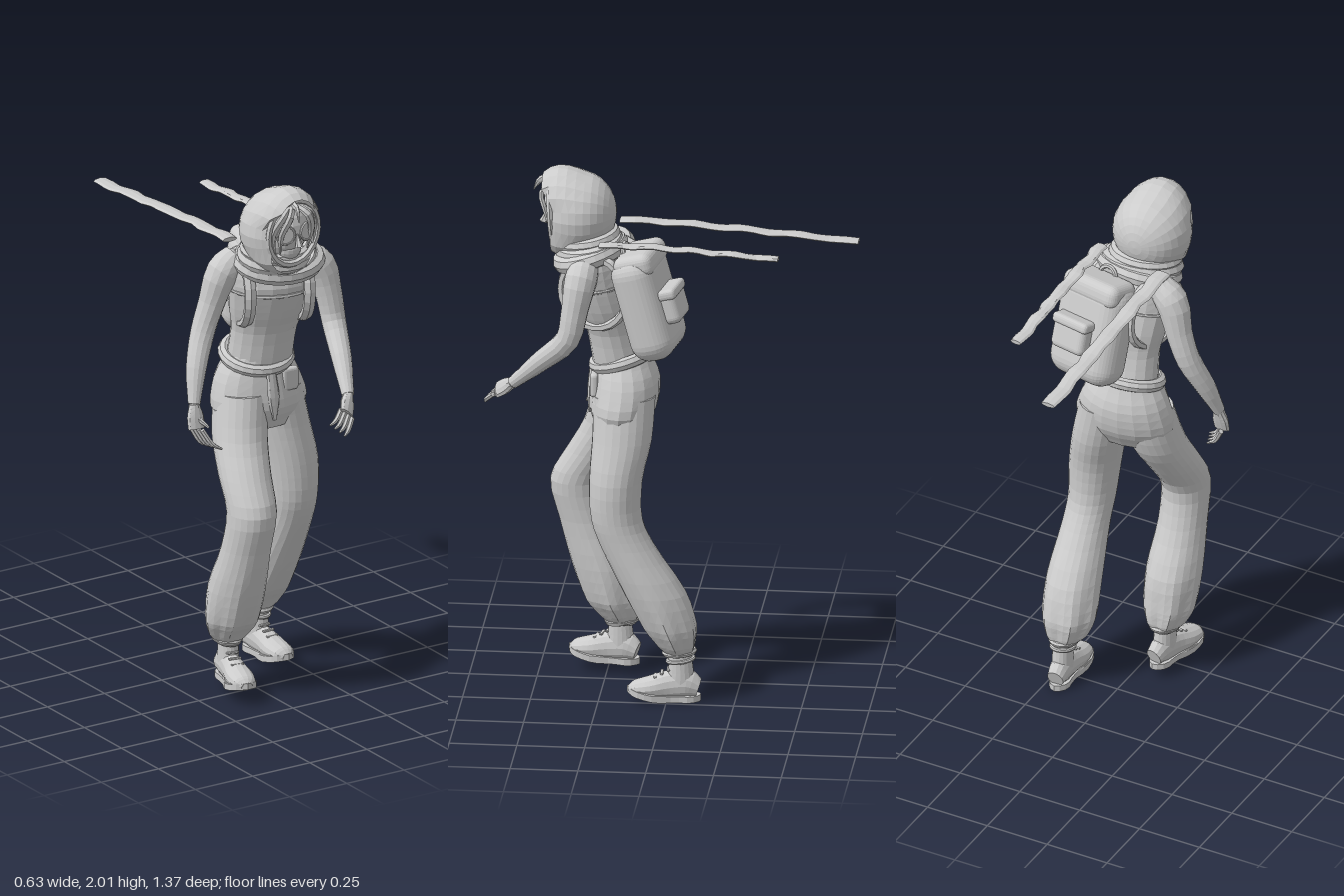
import * as THREE from 'three';
import { RoundedBoxGeometry } from 'three/addons/geometries/RoundedBoxGeometry.js';

const material = new THREE.MeshStandardMaterial({ color: 0xcccccc, flatShading: true, side: THREE.DoubleSide });
const V = (x, y, z) => new THREE.Vector3(x, y, z);

function add(parent, name, geometry, x = 0, y = 0, z = 0) {
  const mesh = new THREE.Mesh(geometry, material);
  mesh.name = name;
  mesh.position.set(x, y, z);
  parent.add(mesh);
  return mesh;
}

// Skin over oval sections [x, y, z, r1, r2, pleat]. With "yaw" the sections stay level
// and the path runs downwards; with "ref" they stand square to the path.
function loft(sections, { yaw = 0, ref = null, sides = 18, steps = 3 } = {}) {
  const path = new THREE.CatmullRomCurve3(sections.map(s => V(s[0], s[1], s[2])));
  const size = new THREE.CatmullRomCurve3(sections.map(s => V(s[3], s[4], s[5] || 0)), false, 'catmullrom', 0.4);
  const n = (sections.length - 1) * steps, pos = [], index = [];
  for (let i = 0; i <= n; i++) {
    const c = path.getPoint(i / n), r = size.getPoint(i / n);
    let u = V(Math.cos(yaw), 0, -Math.sin(yaw)), v = V(Math.sin(yaw), 0, Math.cos(yaw));
    if (ref) {
      const t = path.getTangent(i / n);
      u = ref.clone().cross(t).normalize();
      v = t.clone().cross(u);
    }
    for (let j = 0; j < sides; j++) {
      const a = j / sides * Math.PI * 2, k = 1 + r.z * Math.cos(a * 6);
      const p = c.clone().addScaledVector(u, r.x * k * Math.cos(a)).addScaledVector(v, r.y * k * Math.sin(a));
      pos.push(p.x, p.y, p.z);
      const b = (j + 1) % sides, q = i * sides;
      if (i < n) index.push(q + j, q + b, q + sides + b, q + j, q + sides + b, q + sides + j);
    }
  }
  // end caps
  for (const i of [0, n]) {
    const c = path.getPoint(i / n), m = pos.length / 3, q = i * sides;
    pos.push(c.x, c.y, c.z);
    for (let j = 0; j < sides; j++) {
      const b = (j + 1) % sides;
      if (i) index.push(m, q + j, q + b); else index.push(m, q + b, q + j);
    }
  }
  const g = new THREE.BufferGeometry();
  g.setAttribute('position', new THREE.Float32BufferAttribute(pos, 3));
  g.setIndex(index);
  g.computeVertexNormals();
  return g;
}

// Flat-lying oval band; a positive tilt lowers the front
const band = (rx, rz, tube, tilt = 0, yaw = 0) =>
  new THREE.TorusGeometry(1, tube / rx, 8, 24).rotateX(Math.PI / 2).scale(rx, rx, rz).rotateX(tilt).rotateY(yaw);

const ball = (rx, ry, rz) => new THREE.SphereGeometry(1, 18, 12).scale(rx, ry, rz);

function buildHead(root) {
  const head = new THREE.Group();
  head.name = 'head';
  root.add(head);
  add(head, 'face', ball(0.088, 0.115, 0.095), 0.045, 1.845, 0.365);
  add(head, 'jaw', ball(0.05, 0.05, 0.05), 0.045, 1.775, 0.395);
  add(head, 'nose', new THREE.ConeGeometry(0.016, 0.06, 6).rotateX(-0.3), 0.047, 1.825, 0.462);
  add(head, 'neck', new THREE.CylinderGeometry(0.06, 0.07, 0.18, 12), 0.055, 1.72, 0.29);

  // hood: a ball open towards the face, drawn up to a peak at the front
  const g = new THREE.SphereGeometry(1, 22, 12, 0, Math.PI * 2, 0.8, Math.PI - 0.8)
    .rotateX(Math.PI / 2).scale(0.15, 0.155, 0.14);
  const p = g.attributes.position;
  for (let i = 0; i < p.count; i++) {
    const y = p.getY(i), z = p.getZ(i);
    const front = Math.max(0, z + 0.02) / 0.12;
    if (y > 0.07) p.setXYZ(i, p.getX(i), y + 0.042 * front * (y - 0.04) / 0.08, z + 0.035 * front);
    if (y < -0.05) p.setY(i, y - 0.04 * front);
  }
  g.computeVertexNormals();
  add(head, 'hood', g, 0.04, 1.835, 0.342);
  add(head, 'hoodRim', new THREE.TorusGeometry(0.108, 0.012, 6, 22).scale(1, 1.18, 1).rotateX(0.06), 0.042, 1.845, 0.437);

  // glasses and the locks that frame the face
  for (const s of [-1, 1]) {
    add(head, 'glassesRim', new THREE.TorusGeometry(0.034, 0.005, 6, 18).rotateY(s * 0.25), 0.047 + s * 0.047, 1.845, 0.452);
    add(head, 'lens', new THREE.CylinderGeometry(0.033, 0.033, 0.004, 16).rotateX(Math.PI / 2).rotateY(s * 0.25),
      0.047 + s * 0.047, 1.845, 0.452);
    for (const k of [0, 1]) {
      const w = 0.065 + k * 0.025, x = 0.045;
      add(head, 'hairLock', loft([
        [x + s * 0.005, 1.955, 0.43, 0.01, 0.008], [x + s * w * 0.6, 1.92, 0.475 - k * 0.02, 0.016, 0.01],
        [x + s * w, 1.85, 0.455 - k * 0.02, 0.014, 0.009], [x + s * w * 0.9, 1.77, 0.435, 0.003, 0.003],
      ], { ref: V(0, 0, 1), sides: 6 }));
    }
  }
  add(head, 'hairTuft', loft([[0.04, 1.95, 0.43, 0.018, 0.012], [0.03, 1.955, 0.48, 0.014, 0.008], [0.02, 1.91, 0.51, 0.002, 0.002]],
    { ref: V(1, 0, 0), sides: 6 }));
}

function buildScarf(root) {
  const scarf = new THREE.Group();
  scarf.name = 'scarf';
  root.add(scarf);
  add(scarf, 'lowerWrap', band(0.145, 0.115, 0.032, 0.3, -0.2), 0.07, 1.69, 0.295);
  add(scarf, 'middleWrap', band(0.13, 0.105, 0.03, 0.2, 0.1), 0.06, 1.715, 0.3);
  add(scarf, 'upperWrap', band(0.115, 0.1, 0.026, 0.15), 0.05, 1.745, 0.31);
  add(scarf, 'frontDrape', ball(0.12, 0.06, 0.07), 0.075, 1.675, 0.345);
  // two long tails blown straight back
  for (const [x, z0, z1, w] of [[-0.082, 0.2, -0.68, 0.031], [0.2, 0.25, -0.41, 0.025]]) {
    const pts = [];
    for (let i = 0; i <= 16; i++) {
      const t = i / 16, z = z0 + (z1 - z0) * t;
      pts.push([x + 0.003 * Math.sin(i * 2.1), 1.765 - 0.055 * Math.max(0, (0.1 - z) / 0.78) ** 1.2 + 0.003 * Math.sin(i * 1.7), z,
        w + 0.003 * Math.sin(i * 2.7), 0.009]);
    }
    add(scarf, 'scarfTail', loft(pts, { ref: V(0, 1, 0), sides: 8, steps: 2 }));
  }
}

// Arm with palm, four fingers and a thumb
function buildArm(root, name, sections, knuckle, tip, spread) {
  const arm = new THREE.Group();
  arm.name = name;
  root.add(arm);
  add(arm, 'sleeve', loft(sections, { ref: V(1, 0, 0.3), sides: 14 }));
  const w = sections[sections.length - 1], wrist = V(w[0], w[1], w[2]);
  const mid = wrist.clone().lerp(knuckle, 0.5);
  add(arm, 'palm', loft([[...wrist, 0.02, 0.02], [...mid, 0.034, 0.018], [...knuckle, 0.034, 0.014]], { ref: V(0, 0, 1).cross(spread), sides: 10 }));
  for (let i = 0; i < 4; i++) {
    const off = spread.clone().multiplyScalar((i - 1.5) * 0.017);
    const a = knuckle.clone().add(off), c = tip.clone().addScaledVector(off, 1.3);
    const b = a.clone().lerp(c, 0.5).addScaledVector(knuckle.clone().sub(wrist), 0.2);
    add(arm, 'finger', loft([[...a, 0.01, 0.01], [...b, 0.009, 0.009], [...c, 0.004, 0.004]], { ref: V(0.3, 0.2, 1), sides: 6 }));
  }
  const e = mid.clone().addScaledVector(spread, 0.05).lerp(tip, 0.3);
  add(arm, 'thumb', loft([[...mid, 0.013, 0.013], [...e, 0.005, 0.005]], { ref: V(0.3, 0.2, 1), sides: 6 }));
}

// Ankle boot placed on its sole, turned by yaw
function buildBoot(root, name, x, y, z, yaw) {
  const boot = new THREE.Group();
  boot.name = name;
  boot.position.set(x, y, z);
  boot.rotation.y = yaw;
  root.add(boot);
  const upper = loft([
    [0, 0.04, 0.14, 0.022, 0.015], [0, 0.045, 0.115, 0.045, 0.03], [0, 0.05, 0.06, 0.052, 0.042],
    [0, 0.06, -0.01, 0.042, 0.055], [0, 0.065, -0.07, 0.04, 0.058], [0, 0.05, -0.115, 0.032, 0.035],
  ], { ref: V(0, 1, 0), sides: 14 });
  const p = upper.attributes.position;
  for (let i = 0; i < p.count; i++) p.setY(i, Math.max(0.015, p.getY(i)));
  add(boot, 'upper', upper);
  add(boot, 'shaft', loft([[0, 0.22, -0.045, 0.036, 0.04], [0, 0.14, -0.05, 0.038, 0.045], [0, 0.06, -0.05, 0.04, 0.055]]));
  add(boot, 'shaftBand', band(0.041, 0.047, 0.008, 0.15), 0, 0.16, -0.05);
  for (let i = 0; i < 3; i++) add(boot, 'lace', new RoundedBoxGeometry(0.05, 0.009, 0.012, 1, 0.004), 0, 0.122 - i * 0.014, -0.005 + i * 0.024);
  const outline = new THREE.Shape(new THREE.SplineCurve(
    [[0, 0.148], [0.045, 0.12], [0.055, 0.06], [0.036, -0.02], [0.038, -0.09], [0, -0.125],
      [-0.038, -0.09], [-0.036, -0.02], [-0.055, 0.06], [-0.045, 0.12], [0, 0.148]].map(q => new THREE.Vector2(...q))).getPoints(24));
  const sole = new THREE.ExtrudeGeometry(outline, { depth: 0.024, bevelEnabled: false }).rotateX(Math.PI / 2).scale(1, 1, 1);
  const s = sole.attributes.position;
  // the toe curls up a little
  for (let i = 0; i < s.count; i++) s.setY(i, s.getY(i) + 0.025 + Math.max(0, s.getZ(i) - 0.03) * 0.25);
  add(boot, 'sole', sole);
}

function buildBackpack(root) {
  const pack = new THREE.Group();
  pack.name = 'backpack';
  pack.position.set(0.14, 1.53, 0.075);
  pack.rotation.set(0.28, -0.17, 0, 'YXZ');
  root.add(pack);
  add(pack, 'bag', new RoundedBoxGeometry(0.29, 0.41, 0.17, 4, 0.075));
  add(pack, 'topFlap', new RoundedBoxGeometry(0.25, 0.09, 0.15, 3, 0.035), 0, 0.165, -0.015);
  add(pack, 'backPocket', new RoundedBoxGeometry(0.15, 0.12, 0.07, 3, 0.025), 0.02, -0.02, -0.1);
  add(pack, 'pocketFlap', new RoundedBoxGeometry(0.16, 0.04, 0.08, 2, 0.015), 0.02, 0.035, -0.1);
  add(pack, 'handle', new THREE.TorusGeometry(0.035, 0.009, 6, 12, Math.PI), 0, 0.2, 0.03);
  for (const [x, z] of [[-0.04, 0.21], [0.18, 0.27]]) {
    const g = new THREE.TorusGeometry(0.13, 0.016, 6, 24).scale(1, 1.05, 1.5).rotateY(Math.PI / 2 - 0.3);
    add(root, 'shoulderStrap', g, x, 1.575, z);
  }
}

export function createModel() {
  const root = new THREE.Group();
  root.name = 'hoodedTraveller';
  buildHead(root);
  buildScarf(root);
  buildBackpack(root);

  // torso and top hem, turned slightly with the stride
  add(root, 'torso', loft([
    [0.06, 1.74, 0.27, 0.08, 0.07], [0.065, 1.69, 0.26, 0.165, 0.09], [0.065, 1.6, 0.26, 0.165, 0.115],
    [0.065, 1.5, 0.235, 0.15, 0.11], [0.06, 1.4, 0.21, 0.125, 0.095], [0.055, 1.25, 0.18, 0.125, 0.1],
  ], { yaw: -0.3 }));
  add(root, 'chestHem', band(0.16, 0.112, 0.008, 0.1, -0.3), 0.065, 1.58, 0.257);
  add(root, 'belt', band(0.122, 0.112, 0.024, 0.3, -0.1), 0.05, 1.285, 0.175);
  add(root, 'beltPouch', new RoundedBoxGeometry(0.07, 0.09, 0.03, 2, 0.012), 0.13, 1.2, 0.275);
  add(root, 'sashEnd', loft([[0.04, 1.25, 0.29, 0.02, 0.01], [0.045, 1.15, 0.3, 0.025, 0.01], [0.05, 1.06, 0.3, 0.008, 0.005]], { sides: 8 }));

  // baggy trousers gathered at the ankle
  add(root, 'trouserSeat', loft([
    [0.05, 1.3, 0.175, 0.115, 0.1], [0.055, 1.2, 0.165, 0.17, 0.125], [0.06, 1.1, 0.175, 0.195, 0.125], [0.06, 1.02, 0.185, 0.15, 0.09],
  ]));
  add(root, 'rightTrouserLeg', loft([
    [-0.02, 1.16, 0.18, 0.1, 0.11], [-0.052, 1.0, 0.22, 0.1, 0.11], [-0.078, 0.87, 0.295, 0.095, 0.105],
    [-0.09, 0.75, 0.36, 0.09, 0.1], [-0.095, 0.6, 0.33, 0.09, 0.098], [-0.095, 0.42, 0.265, 0.105, 0.115, 0.02],
    [-0.093, 0.29, 0.23, 0.1, 0.1, 0.05], [-0.092, 0.23, 0.205, 0.075, 0.075, 0.08], [-0.092, 0.19, 0.195, 0.045, 0.052],
  ], { sides: 24 }));
  add(root, 'leftTrouserLeg', loft([
    [0.13, 1.16, 0.165, 0.1, 0.115], [0.165, 1.0, 0.17, 0.1, 0.11], [0.195, 0.85, 0.19, 0.098, 0.098],
    [0.205, 0.7, 0.185, 0.088, 0.095], [0.208, 0.6, 0.145, 0.087, 0.1], [0.203, 0.42, 0.045, 0.103, 0.115, 0.02],
    [0.196, 0.29, -0.01, 0.104, 0.1, 0.05], [0.197, 0.22, -0.035, 0.08, 0.07, 0.08], [0.198, 0.18, -0.045, 0.045, 0.05],
  ], { sides: 24 }));
  add(root, 'rightCuff', band(0.045, 0.052, 0.013, 0.1), -0.092, 0.205, 0.195);
  add(root, 'leftCuff', band(0.043, 0.05, 0.013, 0.1), 0.198, 0.19, -0.045);
  buildBoot(root, 'rightBoot', -0.1, 0.035, 0.25, -0.2);
  buildBoot(root, 'leftBoot', 0.203, 0, 0, 0.05);

  buildArm(root, 'rightArm', [
    [-0.06, 1.7, 0.21, 0.05, 0.05], [-0.115, 1.65, 0.205, 0.062, 0.062], [-0.155, 1.53, 0.19, 0.05, 0.05],
    [-0.195, 1.42, 0.19, 0.045, 0.045], [-0.245, 1.3, 0.225, 0.038, 0.038], [-0.28, 1.18, 0.265, 0.023, 0.023],
  ], V(-0.282, 1.09, 0.285), V(-0.215, 1.01, 0.305), V(0.35, 0, 0.94));
  buildArm(root, 'leftArm', [
    [0.18, 1.69, 0.3, 0.05, 0.05], [0.235, 1.64, 0.315, 0.06, 0.06], [0.262, 1.53, 0.335, 0.05, 0.05],
    [0.27, 1.42, 0.36, 0.045, 0.045], [0.238, 1.32, 0.46, 0.038, 0.038], [0.195, 1.215, 0.57, 0.023, 0.023],
  ], V(0.15, 1.17, 0.63), V(0.09, 1.125, 0.66), V(0.55, -0.55, 0.6).normalize());
  return root;
}
